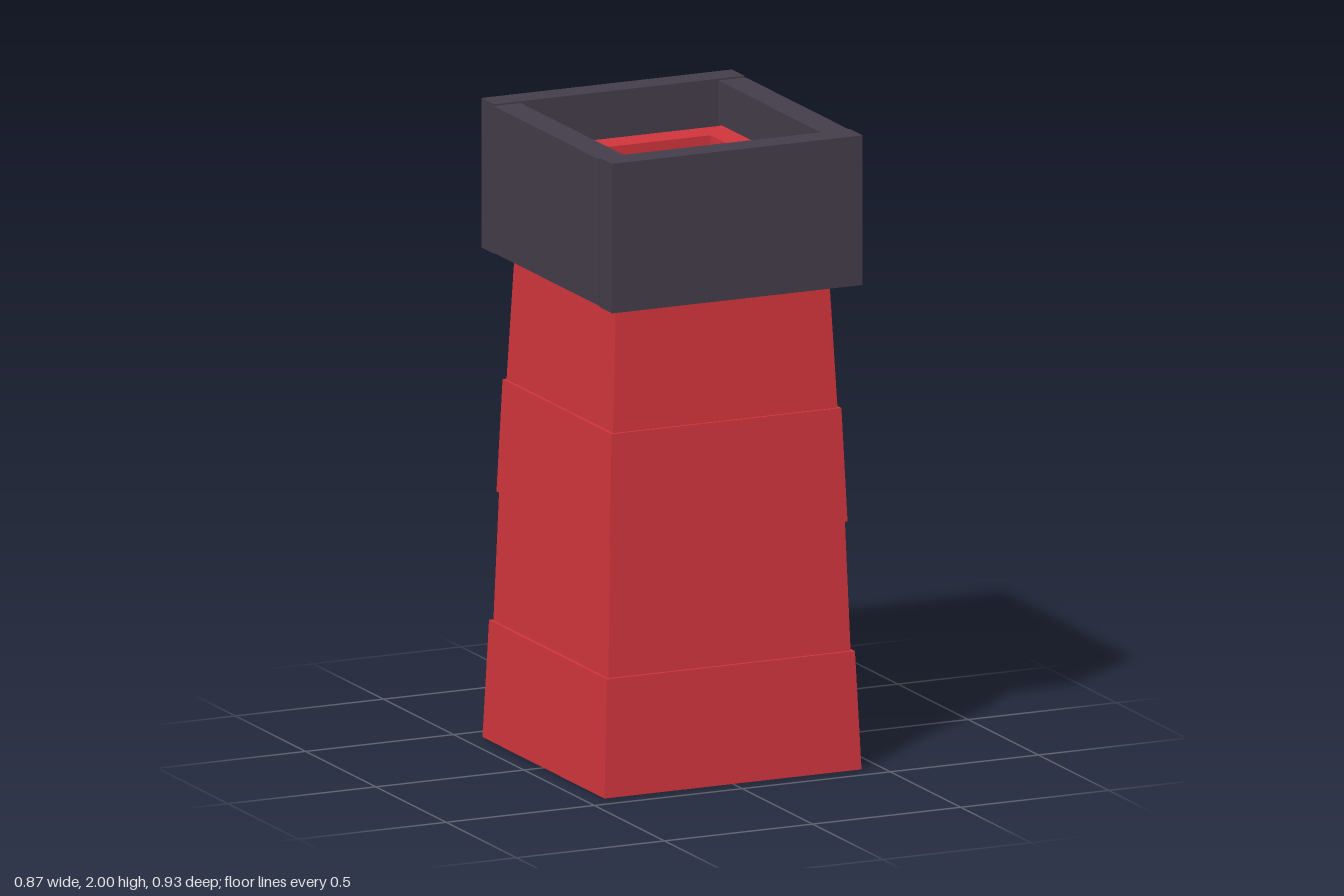
import * as THREE from 'three';

const red = new THREE.MeshStandardMaterial({ color: 0xd0353c, side: THREE.DoubleSide });
red.name = 'red';
const slate = new THREE.MeshStandardMaterial({ color: 0x443c4a });
slate.name = 'slate';
const yellow = new THREE.MeshStandardMaterial({ color: 0xcabd2c });
yellow.name = 'yellow';

// Square tube from a profile of [half width, height] points
function squareTube(name, profile, material) {
  const points = profile.map(([half, y]) => new THREE.Vector2(half * Math.SQRT2, y));
  const geometry = new THREE.LatheGeometry(points, 4, Math.PI / 4).toNonIndexed();
  geometry.computeVertexNormals();
  const mesh = new THREE.Mesh(geometry, material);
  mesh.name = name;
  return mesh;
}

function box(name, size, position, material) {
  const mesh = new THREE.Mesh(new THREE.BoxGeometry(...size), material);
  mesh.position.set(...position);
  mesh.name = name;
  return mesh;
}

export function createModel() {
  const group = new THREE.Group();
  group.name = 'squareTower';

  // Tapered shell, open below, with stepped bands; folds over the rim into a shaft
  group.add(squareTube('towerShell', [
    [0.434, 0], [0.419, 0.37],
    [0.409, 0.37], [0.396, 0.775],
    [0.402, 0.775], [0.388, 1.13],
    [0.379, 1.13], [0.345, 1.86],
    [0.248, 1.86], [0.248, 1.2],
  ], red));

  // Plate hanging inside the shaft, with a narrow gap all round
  group.add(box('innerPlate', [0.475, 0.008, 0.475], [0, 1.25, 0], yellow));

  // Parapet of four slabs round the top
  for (const s of [1, -1]) {
    group.add(box(s > 0 ? 'frontParapet' : 'backParapet',
      [0.846, 0.47, 0.09], [0, 1.765, s * 0.42], slate));
    group.add(box(s > 0 ? 'leftParapet' : 'rightParapet',
      [0.093, 0.46, 0.75], [s * 0.38, 1.765, 0], slate));
  }
  return group;
}
